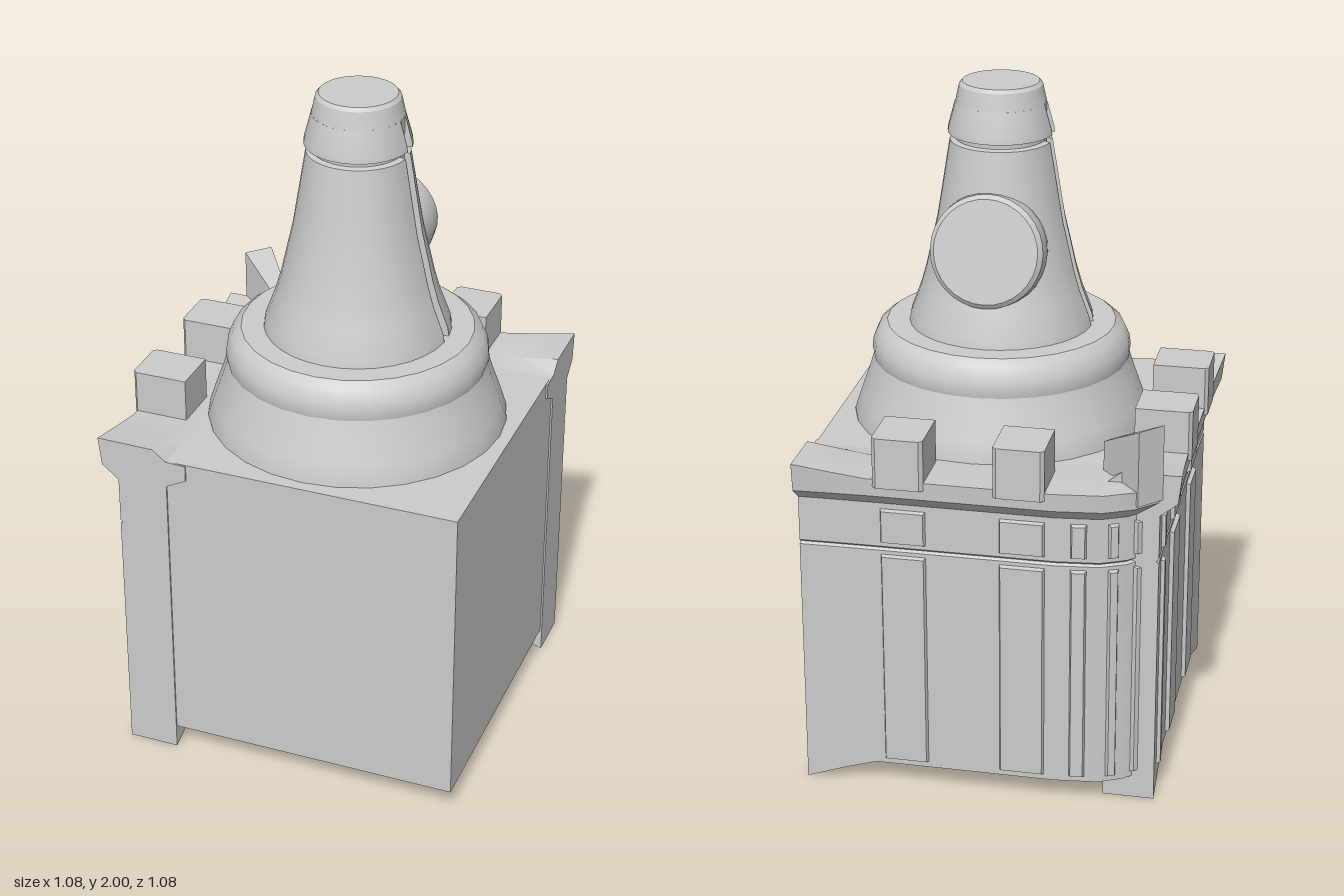
import * as THREE from 'three';
import { toCreasedNormals } from 'three/addons/utils/BufferGeometryUtils.js';

const material = new THREE.MeshStandardMaterial({ color: 0xcccccc });
const thin = new THREE.MeshStandardMaterial({ color: 0xcccccc, side: THREE.DoubleSide });
const AXIS = 0.065; // x and z of the tower axis

function add(parent, name, geometry, mat = material) {
  const mesh = new THREE.Mesh(geometry, mat);
  mesh.name = name;
  parent.add(mesh);
  return mesh;
}

const points = (list) => list.map(([x, y]) => new THREE.Vector2(x, y));
const lathe = (list, ...arc) => new THREE.LatheGeometry(points(list), ...arc);
const creased = (geometry, angle = 0.5) => toCreasedNormals(geometry, angle);

// Wall cross-section: d is outward from the wall face, f is the end flare
const wallProfile = (f) => points([
  [0, 0.07 * (1 - f)], [0, 0.762], [-0.008, 0.768], [0, 0.775], [0, 0.91],
  [0.045 + 0.005 * f, 0.95], [0.048 + 0.012 * f, 1.003 + 0.032 * f],
  [-0.11, 1.003 + 0.03 * f], [-0.15, 1.001], [-0.21, 0.998], [-0.21, 0.95],
  [-0.15, 0.92], [-0.15, 0.07 * (1 - f)],
]);

// Sweep the cross-section through stations [x, z, heading, flare]
function wallGeometry(stations) {
  const position = [], index = [];
  const n = wallProfile(0).length;
  stations.forEach(([x, z, angle, f]) => {
    for (const p of wallProfile(f)) position.push(x + Math.sin(angle) * p.x, p.y, z + Math.cos(angle) * p.x);
  });
  for (let s = 0; s < stations.length - 1; s++) {
    for (let i = 0; i < n; i++) {
      const a = s * n + i, b = s * n + (i + 1) % n;
      index.push(a, b, b + n, a, b + n, a + n);
    }
  }
  const last = (stations.length - 1) * n;
  for (const [a, b, c] of THREE.ShapeUtils.triangulateShape(wallProfile(1), [])) {
    index.push(a, c, b, last + a, last + b, last + c);
  }
  const geometry = new THREE.BufferGeometry();
  geometry.setAttribute('position', new THREE.Float32BufferAttribute(position, 3));
  geometry.setIndex(index);
  return creased(geometry, 0.4);
}

// Raised panel with bevelled edges, standing out along +z
function panelGeometry(width, low, high, depth) {
  const geometry = new THREE.BoxGeometry(width, high - low, depth + 0.02);
  const p = geometry.attributes.position;
  for (let i = 0; i < p.count; i++) {
    if (p.getZ(i) > 0) p.setXY(i, p.getX(i) - Math.sign(p.getX(i)) * depth, p.getY(i) - Math.sign(p.getY(i)) * depth);
  }
  geometry.translate(0, (low + high) / 2, depth / 2 - 0.01);
  return geometry.toNonIndexed();
}

function addPilaster(parent, x, z, angle, width) {
  const pilaster = new THREE.Group();
  pilaster.name = 'pilaster';
  const lower = add(pilaster, 'pilasterShaft', panelGeometry(width, 0.08, 0.758, 0.012));
  const upper = add(pilaster, 'pilasterHead', panelGeometry(width, 0.78, 0.9, 0.012));
  for (const m of [lower, upper]) m.geometry.computeVertexNormals();
  pilaster.position.set(x, 0, z);
  pilaster.rotation.y = angle;
  parent.add(pilaster);
}

// Battlement block with clipped outer corners; the outer end points to -z
function merlonGeometry() {
  const shape = new THREE.Shape(points([
    [-0.073, 0.372], [0.073, 0.372], [0.073, 0.527], [0.062, 0.537], [-0.062, 0.537], [-0.073, 0.527],
  ]));
  const geometry = new THREE.ExtrudeGeometry(shape, { depth: 0.15, bevelEnabled: false });
  return geometry.rotateX(-Math.PI / 2).translate(0, 0.98, 0);
}

function addWalls(model) {
  const B = Math.PI, L = -Math.PI / 2; // headings of the back and side faces
  add(model, 'backWall', wallGeometry([
    [-0.452, -0.375, B + 0.95, 0], [-0.395, -0.432, B + 0.65, 0], [-0.325, -0.466, B + 0.3, 0],
    [-0.2, -0.48, B, 0], [0.33, -0.48, B, 0], [0.43, -0.481, B, 0.45], [0.54, -0.483, B, 1],
  ]));
  add(model, 'sideWall', wallGeometry([
    [-0.483, 0.54, L, 1], [-0.481, 0.43, L, 0.45], [-0.48, 0.33, L, 0],
    [-0.48, -0.21, L, 0], [-0.481, -0.31, L, 0.45], [-0.483, -0.41, L, 1],
  ]));
  for (const t of [-0.105, 0.237]) {
    add(model, 'backMerlon', merlonGeometry()).position.x = t;
    const side = add(model, 'sideMerlon', merlonGeometry());
    side.rotation.y = Math.PI / 2;
    side.position.z = t;
    addPilaster(model, t, -0.48, B, 0.145);
    addPilaster(model, -0.48, t, L, 0.145);
  }
  // Narrow pilasters around the rounded corner
  addPilaster(model, -0.265, -0.473, B + 0.11, 0.06);
  addPilaster(model, -0.36, -0.449, B + 0.45, 0.045);
  addPilaster(model, -0.423, -0.404, B + 0.78, 0.045);
  addPilaster(model, -0.481, -0.345, L, 0.045);

  // Corner merlon: tall at the outer end, sloping down inward
  const geometry = new THREE.BoxGeometry(1, 1, 1);
  const p = geometry.attributes.position;
  const outer = { left: [-0.49, -0.41], right: [-0.43, -0.475] };
  const inner = { left: [-0.335, -0.305], right: [-0.31, -0.335] };
  for (let i = 0; i < p.count; i++) {
    const isOuter = p.getZ(i) < 0;
    const [x, z] = (isOuter ? outer : inner)[p.getX(i) < 0 ? 'left' : 'right'];
    p.setXYZ(i, x, p.getY(i) < 0 ? 0.96 : isOuter ? 1.185 : 1.09, z);
  }
  const corner = geometry.toNonIndexed();
  corner.computeVertexNormals();
  add(model, 'cornerMerlon', corner);
}

function addTower(model) {
  const tower = new THREE.Group();
  tower.name = 'tower';
  tower.position.set(AXIS, 0, AXIS);
  model.add(tower);

  // Flared drum under the cone
  add(tower, 'towerBase', creased(lathe([
    [0.435, 0.99], [0.435, 1.005], [0.417, 1.06], [0.392, 1.13], [0.376, 1.18], [0.38, 1.2], [0.376, 1.23],
    [0.36, 1.265], [0.335, 1.285], [0.1, 1.285],
  ], 28)));

  // Cone and cap, split in two halves by the side slots
  const slotWidth = 0.038, slotDepth = 0.128, slotTop = 1.94;
  const cone = [
    [0.27, 1.28], [0.265, 1.31], [0.235, 1.39], [0.218, 1.45], [0.2, 1.53], [0.184, 1.6], [0.169, 1.69],
    [0.156, 1.77], [0.146, 1.83], [0.13, 1.834], [0.13, 1.848], [0.152, 1.852], [0.15, 1.868], [0.13, slotTop],
  ];
  const half = lathe(cone, 16, -Math.PI / 2, Math.PI);
  const p = half.attributes.position;
  for (let i = 0; i < p.count; i++) {
    const r = Math.hypot(p.getX(i), p.getZ(i));
    const gap = Math.asin(slotWidth / 2 / r);
    const phi = Math.atan2(p.getX(i), p.getZ(i)) * (1 - gap / (Math.PI / 2));
    p.setX(i, r * Math.sin(phi));
    p.setZ(i, r * Math.cos(phi));
  }
  const cheek = new THREE.Shape(points([[slotDepth, 1.28], ...cone, [slotDepth, slotTop]]));
  for (const turn of [0, Math.PI]) {
    add(tower, 'towerCone', creased(half)).rotation.y = turn;
    const slot = new THREE.Group();
    slot.name = 'sideSlot';
    slot.rotation.y = turn;
    for (const s of [-1, 1]) add(slot, 'slotCheek', new THREE.ShapeGeometry(cheek), thin).position.z = s * slotWidth / 2;
    add(slot, 'slotBack', new THREE.BoxGeometry(0.03, slotTop - 1.28, slotWidth))
      .position.set(slotDepth - 0.015, (slotTop + 1.28) / 2, 0);
    tower.add(slot);
  }
  add(tower, 'towerTop', creased(lathe([[0.13, slotTop], [0.119, 1.99], [0.11, 2], [0, 2]], 32)));

  // Round disc set into the back of the cone, leaning with its slope
  const disc = add(tower, 'backDisc', creased(lathe([
    [0, -0.13], [0.155, -0.13], [0.167, -0.06], [0.163, -0.012], [0.15, 0], [0, 0],
  ], 32)));
  disc.position.set(0, 1.56, -0.222);
  disc.rotation.x = -Math.PI / 2 + 0.2;
}

export function createModel() {
  const model = new THREE.Group();
  model.name = 'cornerTower';

  // Solid block filling the inside of the corner
  add(model, 'block', new THREE.BoxGeometry(0.905, 0.93, 0.905)).position.set(0.0825, 0.535, 0.0825);

  addWalls(model);
  addTower(model);
  return model;
}
